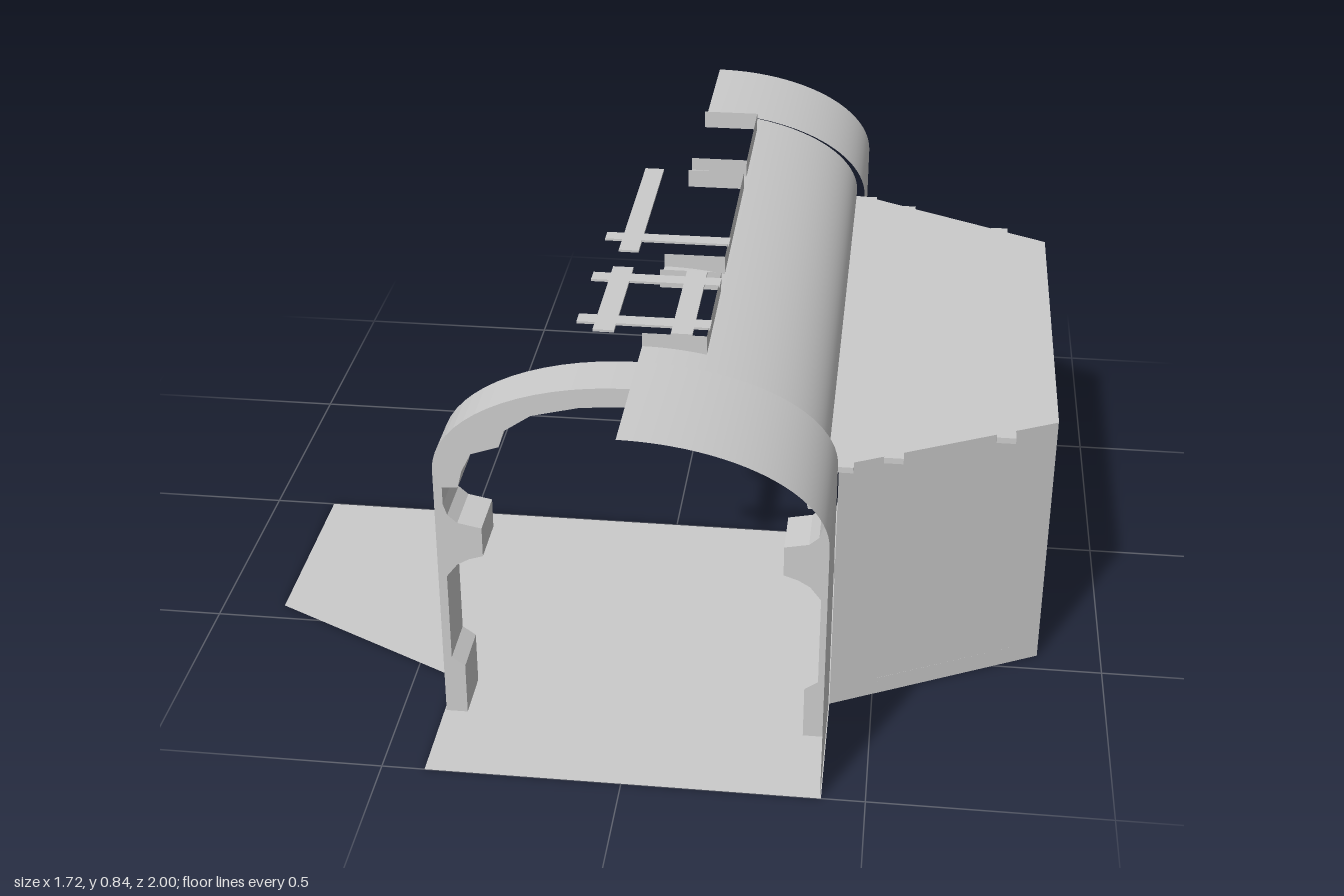
import * as THREE from 'three';

const material = new THREE.MeshStandardMaterial({ color: 0xcccccc, side: THREE.DoubleSide });

export function createModel() {
  const model = new THREE.Group();

  const add = (name, geometry) => {
    const mesh = new THREE.Mesh(geometry, material);
    mesh.name = name;
    model.add(mesh);
    return mesh;
  };
  const box = (name, x0, x1, y0, y1, z0, z1) =>
    add(name, new THREE.BoxGeometry(x1 - x0, y1 - y0, z1 - z0))
      .position.set((x0 + x1) / 2, (y0 + y1) / 2, (z0 + z1) / 2);
  const shapeOf = (points) => new THREE.Shape(points.map(([x, y]) => new THREE.Vector2(x, y)));

  // Flat outline given in x and z, laid at height y
  const slab = (name, points, y) =>
    add(name, new THREE.ShapeGeometry(shapeOf(points)).rotateX(Math.PI / 2).translate(0, y, 0));
  // Upright thin wall between two plan points
  const wall = (name, [xa, za], [xb, zb], y0, y1) => {
    const length = Math.hypot(xb - xa, zb - za);
    const mesh = add(name, new THREE.PlaneGeometry(length, y1 - y0));
    mesh.position.set((xa + xb) / 2, (y0 + y1) / 2, (za + zb) / 2);
    mesh.rotation.y = -Math.atan2(zb - za, xb - xa);
    return mesh;
  };
  // Curved roof sheet: part of an elliptic vault from x0 to x1, running z0 to z1
  const vault = (name, [a, b, base], x0, x1, z0, z1) => {
    const t0 = Math.acos(x0 / a), t1 = Math.acos(Math.min(1, x1 / a));
    const geometry = new THREE.PlaneGeometry(1, 1, 24, 1);
    const p = geometry.attributes.position;
    for (let i = 0; i < p.count; i++) {
      const t = t0 + (t1 - t0) * (p.getX(i) + 0.5);
      const z = p.getY(i) > 0 ? z0 : z1;
      p.setXYZ(i, a * Math.cos(t), base + b * Math.sin(t), z);
    }
    geometry.computeVertexNormals();
    add(name, geometry);
  };

  // Floor of the front half
  slab('floor', [[-0.86, 0], [0.86, 0], [0.86, 0.45], [0.41, 0.68], [0.41, 1],
    [-0.41, 1], [-0.41, 0.68], [-0.86, 0.45]], 0);

  // Side chapel: windowed end wall, two slanted walls and flat roof
  const windowed = shapeOf([[-0.45, 0], [0.45, 0], [0.45, 0.6], [-0.45, 0.6]]);
  for (const z of [-0.148, 0.003, 0.153]) {
    const hole = new THREE.Path();
    hole.moveTo(-z - 0.024, 0.205);
    hole.lineTo(-z - 0.024, 0.435);
    hole.lineTo(-z + 0.024, 0.435);
    hole.lineTo(-z + 0.024, 0.205);
    hole.closePath();
    windowed.holes.push(hole);
  }
  add('windowWall', new THREE.ShapeGeometry(windowed).rotateY(Math.PI / 2).translate(0.86, 0, 0));
  slab('chapelRoof', [[0.385, -0.685], [0.41, -0.685], [0.86, -0.455],
    [0.86, 0.455], [0.41, 0.685], [0.385, 0.685]], 0.6);

  for (const s of [1, -1]) {
    wall('slantedWall', [0.41, 0.68 * s], [0.86, 0.45 * s], 0, 0.6);
    wall('naveWall', [0.408, 0.68 * s], [0.408, s], 0, 0.6);
  }

  // Ceiling beams whose ends show outside the slanted walls
  for (const [x0, x1, z] of [[0.39, 0.44, 0.688], [0.5, 0.54, 0.64], [0.73, 0.77, 0.53]]) {
    box('ceilingBeam', x0, x1, 0.585, 0.598, -z, z);
  }

  // Two rounded steps of the chapel platform
  for (const [ax, az, tEnd, h] of [[0.475, 0.93, 0.743, 0.04], [0.42, 0.85, 0.78, 0.08]]) {
    const points = [[0.86, 0.45], [0.86, -0.45]];
    for (let i = 0; i <= 32; i++) {
      const t = tEnd * (i / 16 - 1);
      points.push([0.86 - ax * Math.cos(t), az * Math.sin(t)]);
    }
    add('platformStep', new THREE.ExtrudeGeometry(shapeOf(points), { depth: h, bevelEnabled: false })
      .rotateX(Math.PI / 2).translate(0, h, 0));
  }
  for (const z of [0.34, -0.34]) {
    add('pedestal', new THREE.CylinderGeometry(0.055, 0.055, 0.2, 24)).position.set(0.8, 0.18, z);
  }

  // Half barrel roof: larger end bays and a slightly smaller middle bay
  const endBay = [0.408, 0.213, 0.6], middleBay = [0.388, 0.197, 0.615];
  vault('frontRoof', endBay, 0, 0.408, 0.685, 1);
  vault('backRoof', endBay, 0, 0.408, -1, -0.685);
  vault('middleRoof', middleBay, 0.13, 0.388, -0.685, 0.685);
  for (const [z0, z1] of [[-0.685, -0.615], [-0.31, -0.235], [0.235, 0.315], [0.615, 0.685]]) {
    vault('roofCrown', middleBay, 0, 0.13, z0, z1);
  }

  // Skylight curbs around the roof openings
  for (const [z0, z1] of [[-0.615, -0.31], [-0.235, 0.235], [0.315, 0.615]]) {
    wall('skylightSide', [0.132, z0], [0.132, z1], 0.795, 0.842);
    for (const z of [z0, z1]) wall('skylightEnd', [0, z], [0.132, z], 0.8, 0.842);
  }

  // Flat skylight bars
  const bar = (x0, x1, z0, z1) => box('skylightBar', x0, x1, 0.837, 0.842, z0, z1);
  for (const z of [0.36, 0.56]) bar(-0.14, 0.135, z - 0.018, z + 0.018);
  for (const x of [-0.08, 0.08]) bar(x - 0.022, x + 0.022, 0.31, 0.61);
  bar(-0.102, -0.058, -0.235, 0.225);
  bar(-0.14, 0.135, 0.135, 0.17);

  // Front arch with moulded pilasters, mirrored about the middle
  const inner = [[0.36, 0], [0.36, 0.12], [0.388, 0.14], [0.388, 0.345], [0.365, 0.375], [0.34, 0.39],
    [0.31, 0.4], [0.31, 0.467], [0.36, 0.477], [0.38, 0.495], [0.388, 0.52], [0.388, 0.56], [0.355, 0.562],
    [0.346, 0.6], [0.325, 0.642], [0.267, 0.662], [0.255, 0.7], [0.2, 0.738], [0.1, 0.763], [0, 0.77]];
  const outer = [[0.406, 0]];
  for (let i = 0; i <= 16; i++) {
    const t = (i / 16) * Math.PI / 2;
    outer.push([0.406 * Math.cos(t), 0.6 + 0.211 * Math.sin(t)]);
  }
  const mirror = (points) => points.slice(0, -1).reverse().map(([x, y]) => [-x, y]);
  const arch = [...outer, ...mirror(outer), ...[...inner, ...mirror(inner)].reverse()];
  add('frontArch', new THREE.ExtrudeGeometry(shapeOf(arch), { depth: 0.115, bevelEnabled: false })
    .translate(0, 0, 0.682));

  return model;
}
